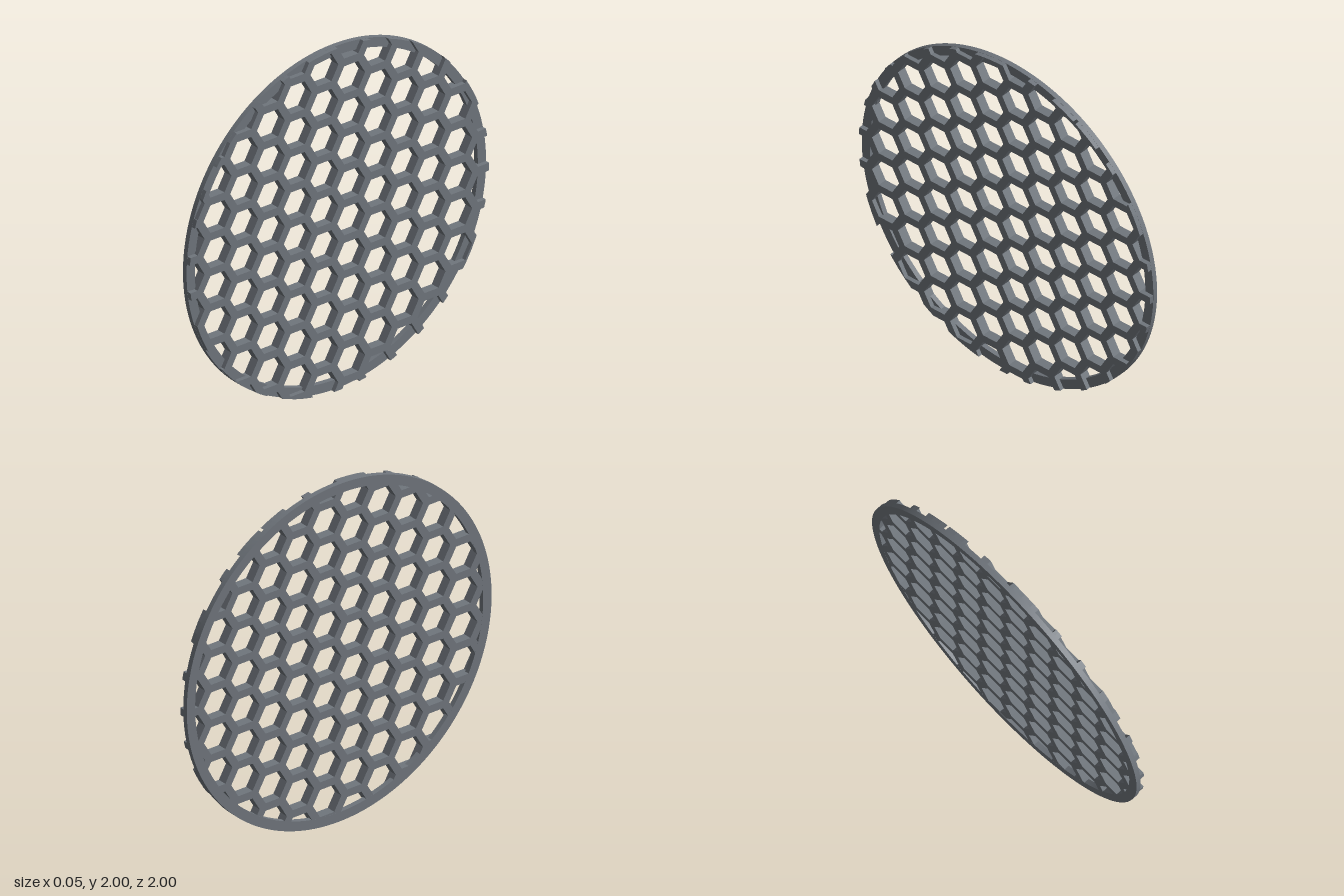
import * as THREE from 'three';
import { toCreasedNormals } from 'three/addons/utils/BufferGeometryUtils.js';

const RADIUS = 1, RIM_INNER = 0.945;
const BACK = -0.0275, RIM_FRONT = 0.002, FRONT = 0.0275; // depths along x
const PITCH = 0.2063, WALL = 0.045, SIDES = 96;

// Cuts a convex polygon to the inside of the round outline.
function clipToDisc(poly, r) {
  for (let i = 0; i < SIDES && poly.length; i++) {
    const t = (i / SIDES) * Math.PI * 2;
    const n = new THREE.Vector2(Math.cos(t), Math.sin(t));
    const out = [];
    poly.forEach((p, j) => {
      const q = poly[(j + 1) % poly.length];
      const dp = p.dot(n) - r, dq = q.dot(n) - r;
      if (dp <= 0) out.push(p);
      if (dp * dq < 0) out.push(p.clone().lerp(q, dp / (dp - dq)));
    });
    poly = out;
  }
  return poly;
}

// Honeycomb: one clipped prism per wall; 2D points hold (y, z), depth runs along x.
function honeycombGeometry() {
  const pos = [], x0 = BACK + 0.0004, x1 = FRONT, r = RADIUS - 0.001;
  const put = (p, x) => pos.push(x, p.x, p.y);
  const shrink = (1 - WALL / PITCH), corner = PITCH / Math.sqrt(3);

  function addWall(a, b, c) {
    const other = a.clone().add(b).sub(c); // centre of the neighbouring cell
    const inset = (p, m) => m.clone().lerp(p, shrink);
    const poly = clipToDisc(
      [a, inset(a, c), inset(b, c), b, inset(b, other), inset(a, other)], r);
    if (poly.length < 3) return;
    const along = b.clone().sub(a).normalize();
    poly.forEach((p, i) => {
      const q = poly[(i + 1) % poly.length];
      if (i > 0 && i < poly.length - 1) { // front and back faces
        put(poly[0], x1); put(p, x1); put(q, x1);
        put(poly[0], x0); put(q, x0); put(p, x0);
      }
      // sides only where the wall meets a hole or the outer edge
      const d = q.clone().sub(p).normalize();
      const onRim = Math.min(p.length(), q.length()) > r - 0.0005;
      if (Math.abs(d.cross(along)) < 0.01 || onRim) {
        put(p, x0); put(q, x0); put(q, x1);
        put(p, x0); put(q, x1); put(p, x1);
      }
    });
  }

  for (let col = -7; col <= 7; col++) {
    for (let row = -7; row <= 7; row++) {
      const c = new THREE.Vector2(
        0.078 + (row + (col % 2 ? 0.5 : 0)) * PITCH,
        0.1 + col * PITCH * Math.sqrt(3) / 2);
      const at = k => new THREE.Vector2(
        c.x + corner * Math.sin(k * Math.PI / 3),
        c.y + corner * Math.cos(k * Math.PI / 3));
      for (let k = 0; k < 3; k++) addWall(at(k), at(k + 1), c);
    }
  }
  const geo = new THREE.BufferGeometry();
  geo.setAttribute('position', new THREE.Float32BufferAttribute(pos, 3));
  geo.computeVertexNormals();
  return geo;
}

// Flat round band, thinner than the honeycomb.
function rimGeometry() {
  const shape = new THREE.Shape().absarc(0, 0, RADIUS, 0, Math.PI * 2);
  shape.holes.push(new THREE.Path().absarc(0, 0, RIM_INNER, 0, Math.PI * 2, true));
  const geo = new THREE.ExtrudeGeometry(shape,
    { depth: RIM_FRONT - BACK, bevelEnabled: false, curveSegments: SIDES });
  geo.translate(0, 0, BACK).rotateY(Math.PI / 2);
  return toCreasedNormals(geo, 0.5);
}

export function createModel() {
  const group = new THREE.Group();
  group.name = 'honeycombGrille';
  const material = new THREE.MeshStandardMaterial({ color: 0x70767d });
  const rim = new THREE.Mesh(rimGeometry(), material);
  rim.name = 'rim';
  const mesh = new THREE.Mesh(honeycombGeometry(), material);
  mesh.name = 'honeycomb';
  group.add(rim, mesh);
  group.position.y = RADIUS;
  return group;
}
